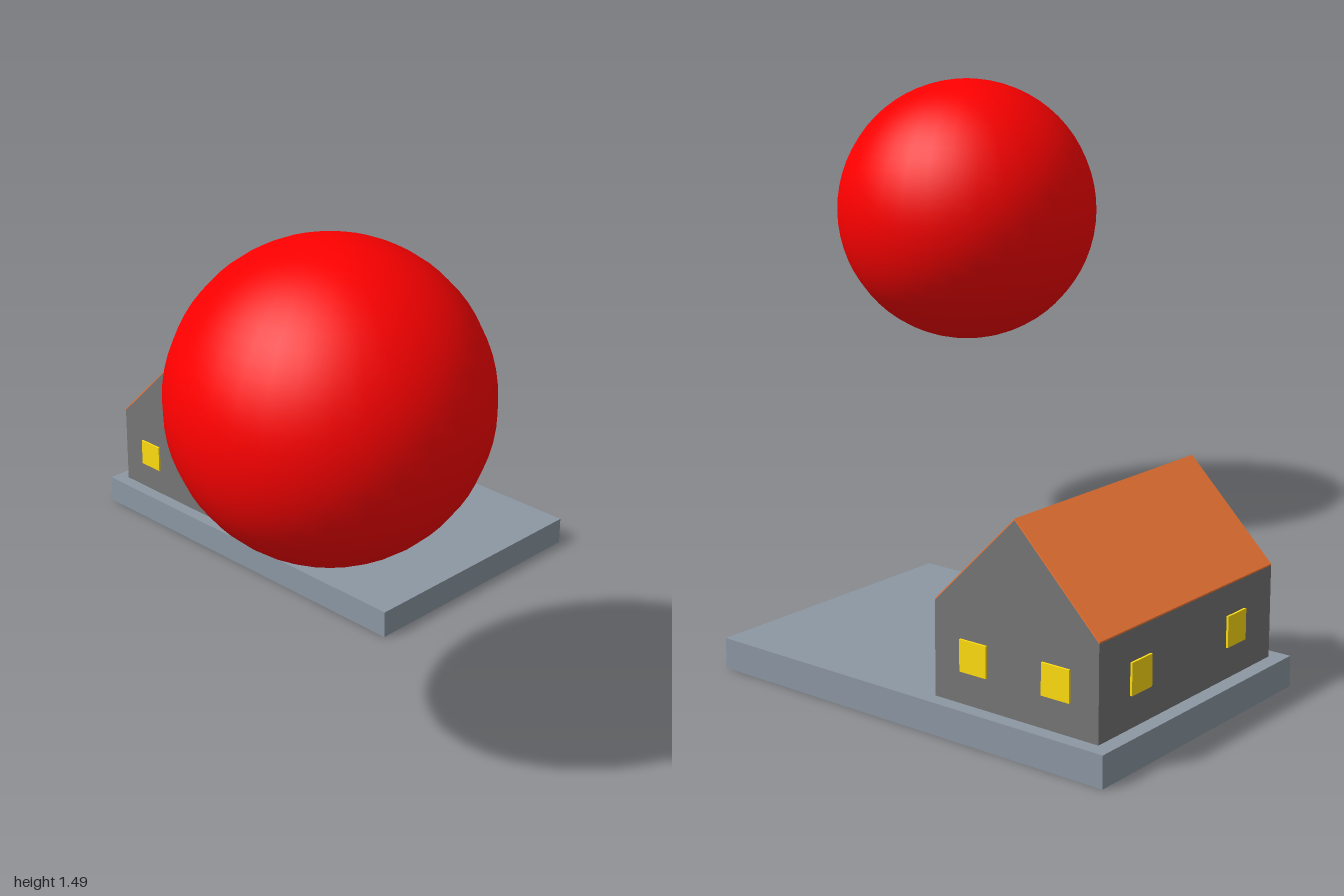
import * as THREE from 'three';

const paint = (color) => new THREE.MeshStandardMaterial({ color });

export function createModel() {
  const model = new THREE.Group();
  const slate = paint(0x8c98a4), stone = paint(0x767676), orange = paint(0xf57a38);
  const wood = paint(0xb85c1e), yellow = paint(0xffdd10), red = paint(0xff0000);

  const add = (parent, name, geometry, material, x, y, z) => {
    const mesh = new THREE.Mesh(geometry, material);
    mesh.name = name;
    mesh.position.set(x, y, z);
    parent.add(mesh);
    return mesh;
  };

  // Floating ball
  add(model, 'ball', new THREE.SphereGeometry(0.418, 32, 32), red, -0.496, 1.073, 0.582);

  // Ground slab
  add(model, 'groundSlab', new THREE.BoxGeometry(0.836, 0.085, 1.26), slate, 0.492, 0.0425, -0.37);

  // House, with its own origin at the centre of its floor
  const width = 0.756, half = 0.252, eave = 0.255, ridge = 0.507, skin = 0.004;
  const house = new THREE.Group();
  house.name = 'house';
  house.position.set(0.492, 0.085, -0.706);
  model.add(house);

  // Extrudes a gable profile along the length of the house
  const alongHouse = (points) => {
    const shape = new THREE.Shape(points.map(([z, y]) => new THREE.Vector2(z, y)));
    return new THREE.ExtrudeGeometry(shape, { depth: width, bevelEnabled: false })
      .translate(0, 0, -width / 2).rotateY(Math.PI / 2);
  };
  add(house, 'walls', alongHouse([
    [-half, 0], [half, 0], [half, eave - skin], [0, ridge - skin], [-half, eave - skin],
  ]), stone, 0, 0, 0);
  add(house, 'roof', alongHouse([
    [-half, eave - skin], [0, ridge - skin], [half, eave - skin],
    [half, eave], [0, ridge], [-half, eave],
  ]), orange, 0, 0, 0);

  // Door and windows stand slightly proud of the walls
  const proud = 0.006, pane = 0.084, thick = 2 * proud;
  add(house, 'door', new THREE.BoxGeometry(pane, 0.169, thick), wood, 0, 0.0845, half);
  const longPane = new THREE.BoxGeometry(pane, pane, thick);
  const gablePane = new THREE.BoxGeometry(thick, pane, pane);
  for (const side of [-1, 1]) {
    for (const s of [-1, 1]) {
      add(house, side > 0 ? 'frontWindow' : 'backWindow', longPane, yellow, s * 0.21, 0.127, side * half);
      add(house, side > 0 ? 'leftWindow' : 'rightWindow', gablePane, yellow, side * width / 2, 0.127, s * 0.127);
    }
  }
  return model;
}
